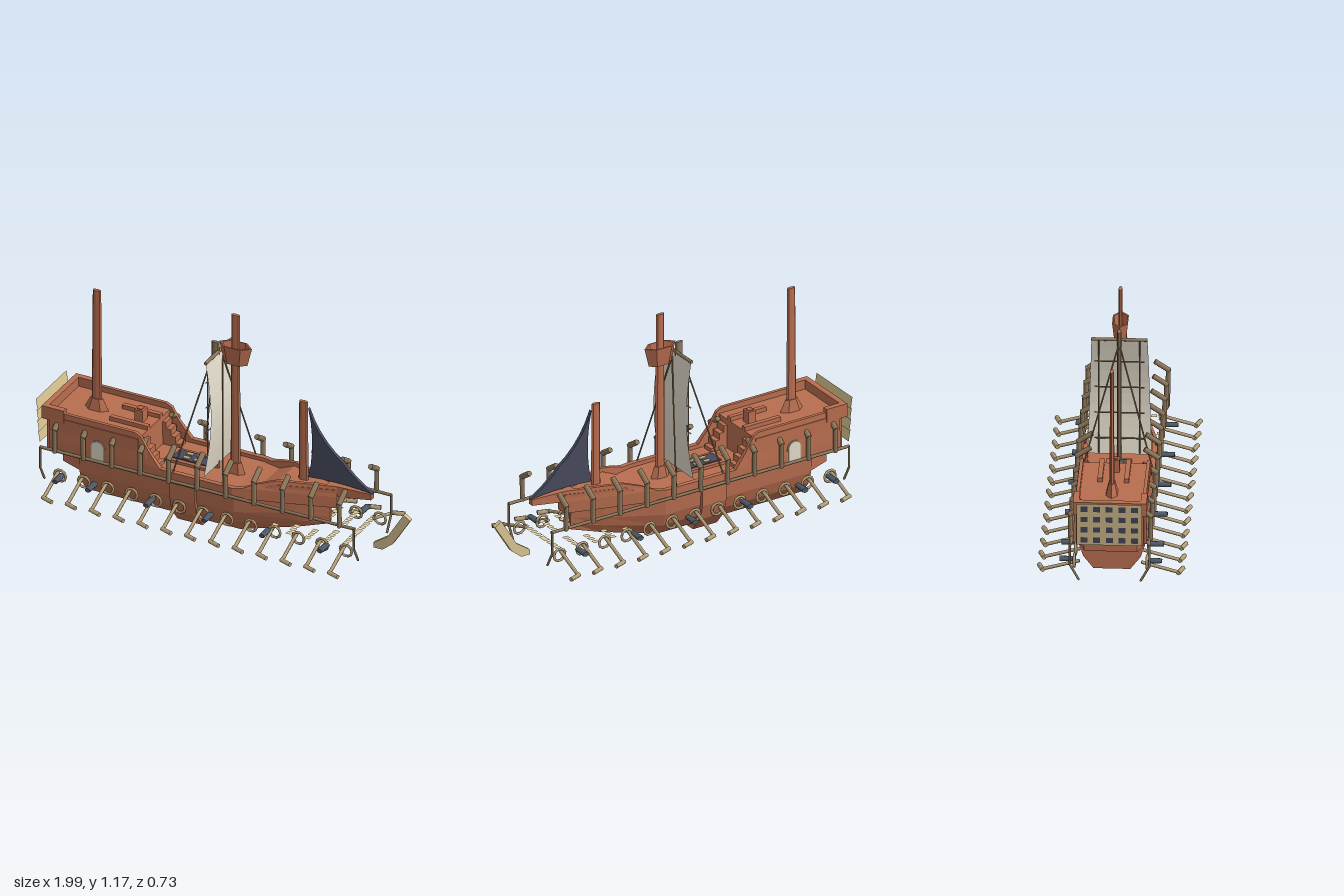
import * as THREE from 'three';

const mat = (name, color, side = THREE.FrontSide) => {
  const m = new THREE.MeshStandardMaterial({ color, side });
  m.name = name;
  return m;
};

export function createModel() {
  const ship = new THREE.Group();
  ship.name = 'galley';
  const wood = mat('redwood', 0xb86d4f);
  const rail = mat('railBrown', 0x8f785b);
  const tan = mat('oarTan', 0xb59f78);
  const straw = mat('strawTan', 0xdac592, THREE.DoubleSide);
  const cream = mat('sailCream', 0xe2dbca, THREE.DoubleSide);
  const navy = mat('navy', 0x484a5e);
  const iron = mat('gunIron', 0x4c5866);

  const add = (name, geo, m, x = 0, y = 0, z = 0, parent = ship) => {
    const mesh = new THREE.Mesh(geo, m);
    mesh.name = name;
    mesh.position.set(x, y, z);
    parent.add(mesh);
    return mesh;
  };
  const box = (name, m, x0, x1, y0, y1, z0, z1) =>
    add(name, new THREE.BoxGeometry(x1 - x0, y1 - y0, z1 - z0), m, (x0 + x1) / 2, (y0 + y1) / 2, (z0 + z1) / 2);
  const faceted = geo => {
    const g = geo.toNonIndexed();
    g.computeVertexNormals();
    return g;
  };

  // Faceted solid through rings of [z, y] points placed along x
  const loft = (name, m, stations) => {
    const n = stations[0].ring.length, pts = [], idx = [];
    stations.forEach(s => s.ring.forEach(([z, y]) => pts.push(new THREE.Vector3(s.x, y, z))));
    for (let s = 0; s < stations.length - 1; s++)
      for (let i = 0; i < n; i++) {
        const a = s * n + i, b = s * n + (i + 1) % n;
        idx.push(a, b, a + n, b, b + n, a + n);
      }
    const end = (stations.length - 1) * n;
    for (let i = 1; i < n - 1; i++) idx.push(0, i + 1, i, end, end + i, end + i + 1);
    // turn the faces outward
    let vol = 0;
    for (let i = 0; i < idx.length; i += 3)
      vol += pts[idx[i]].dot(pts[idx[i + 1]].clone().cross(pts[idx[i + 2]]));
    if (vol < 0) idx.reverse();
    const g = new THREE.BufferGeometry().setFromPoints(idx.map(i => pts[i]));
    g.computeVertexNormals();
    return add(name, g, m);
  };

  // Chain of straight bars through points
  const bars = (name, m, points, r, sides = 6) => {
    const group = new THREE.Group();
    group.name = name;
    for (let i = 0; i < points.length - 1; i++) {
      const a = new THREE.Vector3(...points[i]), b = new THREE.Vector3(...points[i + 1]);
      const d = b.clone().sub(a);
      const bar = add(name + 'Bar', new THREE.CylinderGeometry(r, r, d.length() + r, sides), m, 0, 0, 0, group);
      bar.position.copy(a).add(b).multiplyScalar(0.5);
      bar.quaternion.setFromUnitVectors(new THREE.Vector3(0, 1, 0), d.normalize());
    }
    ship.add(group);
    return group;
  };

  // Hull, drawn in to a sharp stem
  const half = x => x <= 0.1 ? 0.18 : 0.18 - (x - 0.1) * 0.3;
  const mirrorRing = side => [...side, ...side.slice().reverse().map(([z, y]) => [-z, y])];
  loft('lowerHull', wood, [[-0.75, 0.03, 0.18], [0.1, 0.03, 0.18], [0.4, 0.1, 0.08], [0.55, 0.14, 0.008]].map(([x, b, w]) =>
    ({ x, ring: mirrorRing([[w * 0.5, b], [w * 0.78, b + (0.25 - b) * 0.3], [w * 0.9, b + (0.25 - b) * 0.6], [w * 0.93, 0.25]]) })));
  loft('sternCounter', wood, [[-0.86, 0.18, 0.13], [-0.75, 0.17, 0.16]].map(([x, b, w]) =>
    ({ x, ring: mirrorRing([[w, b], [w, 0.25]]) })));
  loft('midBand', wood, [-0.245, -0.105].map(x =>
    ({ x, ring: mirrorRing([[0.095, 0], [0.16, 0.08], [0.18, 0.16], [0.18, 0.25]]) })));
  loft('deck', wood, [[-0.91, 0.44], [-0.42, 0.44], [-0.419, 0.285], [0.1, 0.285], [0.2, 0.29], [0.3, 0.345], [0.6, 0.35]]
    .map(([x, y]) => ({ x, ring: mirrorRing([[half(x) - 0.003, 0.25], [half(x) - 0.003, y]]) })));

  // Bulwarks follow the sheer line
  const sheer = [[-0.91, 0.47], [-0.44, 0.47], [-0.41, 0.455], [-0.37, 0.39], [-0.3, 0.305], [0.1, 0.305], [0.15, 0.31], [0.22, 0.34], [0.31, 0.367], [0.6, 0.367]];
  for (const s of [1, -1]) {
    loft('bulwark', wood, sheer.map(([x, y]) => {
      const w = half(x), lean = y > 0.32 ? 0.008 : 0;
      return { x, ring: [[s * w, 0.25], [s * w, 0.31 < y ? 0.31 : y - 0.001], [s * (w - lean), y], [s * (w - 0.025), y], [s * (w - 0.025), 0.25]] };
    }));
    box('poopRail', wood, -0.95, -0.83, 0.42, 0.49, s * 0.165 - 0.015, s * 0.165 + 0.015);
    // Arched cabin window
    const plate = r => {
      const sh = new THREE.Shape().moveTo(-r, 0).lineTo(r, 0).lineTo(r, 0.068);
      sh.absarc(0, 0.068, r, 0, Math.PI);
      return new THREE.ExtrudeGeometry(sh, { depth: 0.006, bevelEnabled: false, curveSegments: 6 });
    };
    add('windowFrame', plate(0.04), tan, -0.64, 0.265, s > 0 ? 0.177 : -0.183);
    add('windowPane', plate(0.034), cream, -0.64, 0.268, s > 0 ? 0.179 : -0.185);
  }
  box('poopBackRail', wood, -0.95, -0.92, 0.42, 0.49, -0.16, 0.16);
  box('poopFloor', wood, -0.95, -0.9, 0.42, 0.44, -0.17, 0.17);
  box('sternWall', wood, -0.93, -0.9, 0.25, 0.43, -0.165, 0.165);

  // Bowsprit
  loft('bowsprit', wood, [[0.54, 0.31, 0.365, 0.03], [0.62, 0.313, 0.367, 0.022], [0.78, 0.335, 0.367, 0.015]].map(([x, b, t, w]) =>
    ({ x, ring: mirrorRing([[w, b], [w, t]]) })));

  // Masts are oval, longer fore and aft
  const oval = (name, m, x, y0, y1, r0, r1, k = 0.42, sides = 8) => {
    const geo = new THREE.CylinderGeometry(r1, r0, y1 - y0, sides).rotateY(Math.PI / 2);
    const mesh = add(name, faceted(geo), m, x, (y0 + y1) / 2, 0);
    mesh.scale.z = k;
    return mesh;
  };
  oval('aftMast', wood, -0.74, 0.44, 1.105, 0.029, 0.023);
  oval('mainMast', wood, 0.025, 0.28, 1.17, 0.028, 0.023);
  oval('foreMast', wood, 0.4, 0.34, 0.785, 0.027, 0.024);
  oval('aftMastFoot', wood, -0.74, 0.44, 0.5, 0.065, 0.035, 0.5, 6);
  oval('mainMastFoot', wood, 0.025, 0.28, 0.345, 0.055, 0.035, 0.5, 6);
  const nest = [[0, 0.9], [0.065, 0.9], [0.09, 1], [0.077, 1], [0.06, 0.925], [0, 0.925]];
  const nestGeo = new THREE.LatheGeometry(nest.map(q => new THREE.Vector2(...q)), 6).rotateY(Math.PI / 2);
  add('crowNest', faceted(nestGeo), wood, 0.025, 0, 0).scale.z = 0.5;

  // Main sail on its own spar
  oval('sailSpar', rail, -0.085, 0.28, 0.99, 0.022, 0.022, 0.45);
  const sail = new THREE.PlaneGeometry(2, 1, 8, 10), p = sail.attributes.position;
  for (let i = 0; i < p.count; i++) {
    const u = p.getX(i), v = p.getY(i) + 0.5;
    p.setXYZ(i, -0.068 + 0.038 * Math.sin(Math.PI * v) * (1 - 0.1 * u * u), 0.31 + 0.63 * v, -u * (0.157 - 0.02 * v));
  }
  add('mainSail', faceted(sail), cream);
  bars('yard', rail, [[-0.07, 0.938, -0.133], [-0.07, 0.938, 0.133]], 0.009);
  for (let i = 0; i < 4; i++) bars('batten', rail, [[-0.075, 0.4 + i * 0.14, -0.12], [-0.075, 0.4 + i * 0.14, 0.12]], 0.004, 4);
  for (const s of [1, -1]) {
    bars('sailRope', rail, [[-0.075, 0.32, s * 0.1], [-0.075, 0.93, s * 0.1]], 0.004, 4);
    bars('aftStay', rail, [[-0.095, 0.93, 0], [-0.23, 0.3, s * 0.175]], 0.004, 4);
    bars('foreStay', rail, [[-0.045, 0.92, 0], [0.045, 0.3, s * 0.175]], 0.004, 4);
  }

  // Fore sail
  const jib = new THREE.Shape().moveTo(0.43, 0.755);
  jib.quadraticCurveTo(0.49, 0.59, 0.62, 0.5).quadraticCurveTo(0.69, 0.42, 0.785, 0.367);
  jib.quadraticCurveTo(0.6, 0.39, 0.43, 0.37).quadraticCurveTo(0.475, 0.56, 0.43, 0.755);
  add('foreSail', new THREE.ExtrudeGeometry(jib, { depth: 0.018, bevelEnabled: false, curveSegments: 5 }), navy, 0, 0, -0.009);

  // Deck hatch with grating
  box('hatchFrame', wood, -0.335, -0.095, 0.28, 0.3, -0.062, 0.062);
  box('hatchCover', navy, -0.305, -0.115, 0.3, 0.306, -0.042, 0.042);
  for (const x of [-0.235, -0.175]) for (const z of [-0.02, 0.02])
    box('hatchSlat', tan, x - 0.018, x + 0.018, 0.305, 0.31, z - 0.012, z + 0.012);

  // Aft deck fittings and steps
  for (const z of [-0.065, 0.065]) box('deckBench', wood, -0.63, -0.42, 0.44, 0.462, z - 0.012, z + 0.012);
  box('helmBlock', wood, -0.52, -0.475, 0.44, 0.505, -0.025, 0.025);
  box('helmPlate', wood, -0.51, -0.485, 0.505, 0.51, -0.015, 0.015);
  for (let i = 0; i < 4; i++) for (const s of [1, -1])
    box('step', wood, -0.42, -0.4 + i * 0.025, 0.28, 0.41 - i * 0.035, s * 0.11 - 0.03, s * 0.11 + 0.03);

  // Side rails, oars, rings and guns
  for (const s of [1, -1]) {
    bars('sideRail', rail, [[-0.95, 0.262, s * 0.19], [0.78, 0.262, s * 0.19]], 0.008);
    for (const x of [-0.95, 0.78])
      bars('endPost', rail, [[x, 0.262, s * 0.195], [x, 0.15, s * 0.195], [x, 0.07, s * 0.152]], 0.006);
    for (let i = 0; i < 11; i++) {
      const x = -0.87 + i * 0.157;
      bars('stanchion', rail, [[x, 0.26, s * 0.195], [x, 0.385, s * 0.197]], 0.012);
      bars('stanchionHook', rail, [[x, 0.385, s * 0.197], [x, 0.425, s * 0.137]], 0.014);
    }
    for (let i = 0; i < 13; i++) {
      const x = -0.87 + i * 0.1315;
      bars('oar', tan, [[x, 0.13, s * 0.155], [x + 0.012, 0.075, s * 0.33]], 0.009);
      bars('oarBlade', tan, [[x + 0.01, 0.073, s * 0.333], [x + 0.06, 0.072, s * 0.35]], 0.012);
      add('oarRing', new THREE.TorusGeometry(0.032, 0.007, 5, 10), tan, x + 0.02, 0.122, s * 0.178);
    }
    for (const x of [-0.84, -0.66, -0.34, -0.02, 0.3, 0.62])
      add('gun', new THREE.CylinderGeometry(0.011, 0.013, 0.075, 8).rotateX(Math.PI / 2), iron, x, 0.125, s * 0.213).scale.x = 1.4;
    // Rowing planks beside the bow
    for (const x of [0.31, 0.41, 0.51, 0.605, 0.7])
      for (let z = 0.165; z > Math.max(half(x), 0.01); z -= 0.038)
        add('bowPlank', new THREE.PlaneGeometry(0.03, 0.028).rotateX(-Math.PI / 2), straw, x, 0.13, s * z);
  }

  // Stern screen of leaning slats with dark openings on the outside
  for (let i = 0; i < 4; i++) {
    const slat = add('sternSlat', new THREE.PlaneGeometry(0.32, 0.062).rotateY(-Math.PI / 2), straw, -0.976 - i * 0.004, 0.3 + i * 0.058, 0);
    slat.rotation.z = 0.16;
    for (let j = 0; j < 5; j++)
      add('sternOpening', new THREE.PlaneGeometry(0.034, 0.032).rotateY(-Math.PI / 2), navy, -0.002, 0, -0.124 + j * 0.062, slat);
  }

  // Bent ram ahead of the bow
  const ram = new THREE.Shape([[0.79, 0.072], [0.84, 0.072], [0.897, 0.118], [0.993, 0.272], [0.957, 0.297], [0.868, 0.152], [0.79, 0.098]]
    .map(q => new THREE.Vector2(...q)));
  add('ram', new THREE.ExtrudeGeometry(ram, { depth: 0.022, bevelEnabled: false }), straw, 0, 0, -0.011);

  return ship;
}
